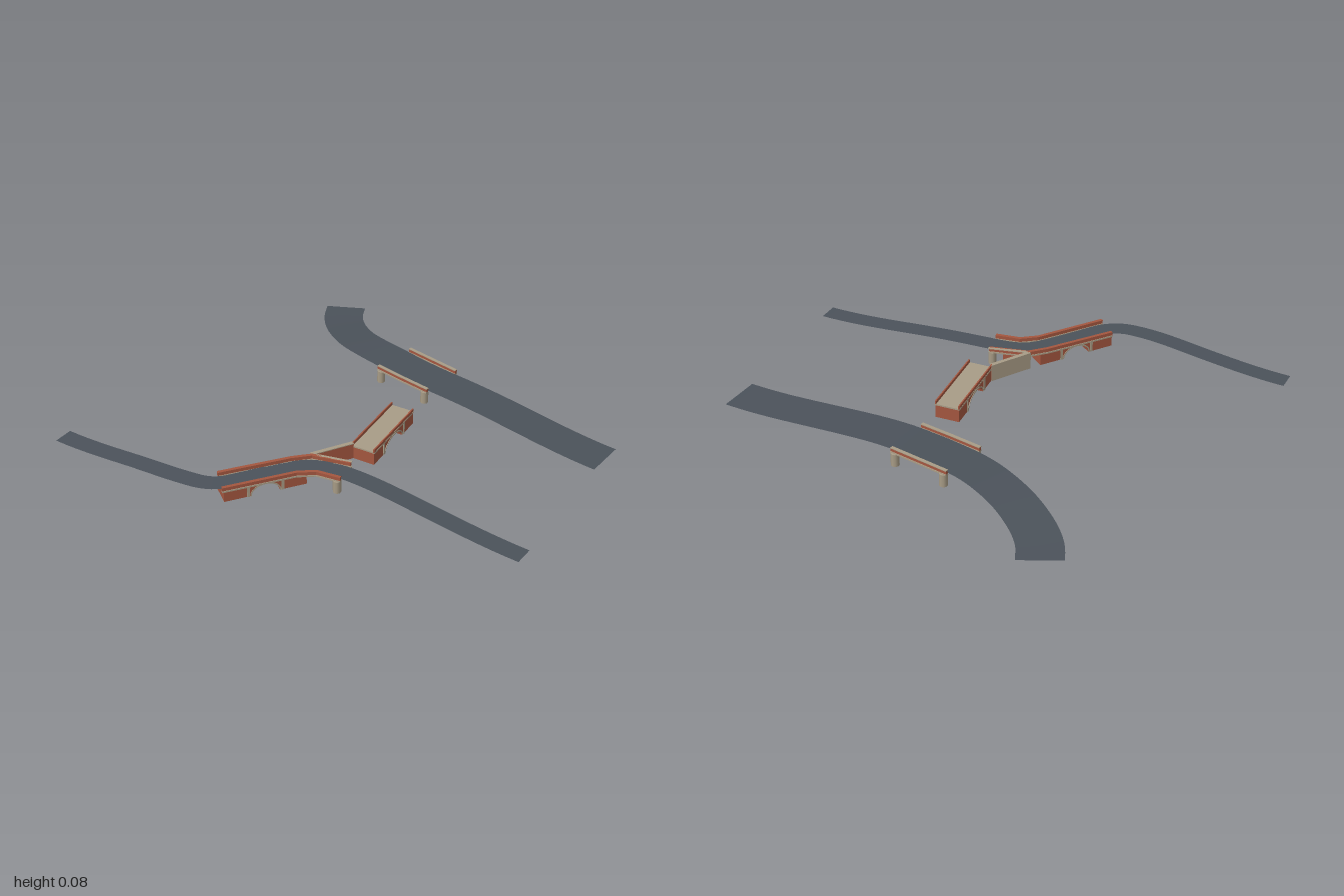
import * as THREE from 'three';

const road = new THREE.MeshStandardMaterial({ color: 0x4b525a, side: THREE.DoubleSide });
const brick = new THREE.MeshStandardMaterial({ color: 0xa3563f, side: THREE.DoubleSide });
const stone = new THREE.MeshStandardMaterial({ color: 0xa89c86, side: THREE.DoubleSide });
const DECK = 0.062, TOP = 0.079;

function add(parent, name, geometry, material, x = 0, y = 0, z = 0) {
  const mesh = new THREE.Mesh(geometry, material);
  mesh.name = name;
  mesh.position.set(x, y, z);
  parent.add(mesh);
  return mesh;
}

// Flat ribbon along a curve; flat between x = flat[0] and flat[1], easing down to the ground at both ends
function roadway(parent, name, points, width, flat) {
  const curve = new THREE.CatmullRomCurve3(points.map(([x, z]) => new THREE.Vector3(x, 0, z)));
  const n = 72, positions = [], index = [];
  const x0 = points[0][0], x1 = points[points.length - 1][0];
  for (let i = 0; i <= n; i++) {
    const p = curve.getPointAt(i / n), t = curve.getTangentAt(i / n);
    const y = 0.001 + (DECK - 0.001) * THREE.MathUtils.smoothstep(p.x, x0, flat[0])
      * (1 - THREE.MathUtils.smoothstep(p.x, flat[1], x1));
    for (const s of [-0.5, 0.5]) positions.push(p.x - t.z * width * s, y, p.z + t.x * width * s);
    if (i < n) {
      const a = 2 * i;
      index.push(a, a + 1, a + 2, a + 1, a + 3, a + 2);
    }
  }
  const g = new THREE.BufferGeometry();
  g.setAttribute('position', new THREE.Float32BufferAttribute(positions, 3));
  g.setIndex(index);
  g.computeVertexNormals();
  add(parent, name, g, road);
}

// Upright wall following a polyline of [x, z] points
function wall(parent, name, points, thickness, y0, y1, material) {
  for (let i = 1; i < points.length; i++) {
    const [ax, az] = points[i - 1], [bx, bz] = points[i];
    const box = new THREE.BoxGeometry(Math.hypot(bx - ax, bz - az) + 0.004, y1 - y0, thickness);
    add(parent, name, box, material, (ax + bx) / 2, (y0 + y1) / 2, (az + bz) / 2)
      .rotation.y = -Math.atan2(bz - az, bx - ax);
  }
}

// Brick parapet standing on a stone course, with a slim coping
function parapet(parent, points, coping) {
  wall(parent, 'parapet', points, 0.011, DECK, TOP - 0.003, brick);
  wall(parent, 'parapetCoping', points, 0.015, TOP - 0.003, TOP, coping);
  wall(parent, 'stoneCourse', points, 0.017, DECK - 0.007, DECK, stone);
}

function pillar(parent, x, z) {
  add(parent, 'pillar', new THREE.CylinderGeometry(0.018, 0.018, DECK - 0.004, 8), stone, x, (DECK - 0.004) / 2, z);
}

// Half-ellipse arch points from right springing to left springing
function archPoints(a, h) {
  return Array.from({ length: 17 }, (_, i) => {
    const t = (Math.PI * i) / 16;
    return new THREE.Vector2(a * Math.cos(t), h * Math.sin(t));
  });
}

// Hollow brick arch bridge between two centre points
function archBridge(parent, name, from, to, width, halfSpan) {
  const bridge = new THREE.Group();
  bridge.name = name;
  const dx = to[0] - from[0], dz = to[1] - from[1], length = Math.hypot(dx, dz);
  const rise = 0.047, h = DECK - 0.004, t = 0.008;
  bridge.position.set((from[0] + to[0]) / 2, 0, (from[1] + to[1]) / 2);
  bridge.rotation.y = -Math.atan2(dz, dx);
  parent.add(bridge);

  const side = new THREE.Shape([
    new THREE.Vector2(-length / 2, 0), new THREE.Vector2(-length / 2, h),
    new THREE.Vector2(length / 2, h), new THREE.Vector2(length / 2, 0),
    ...archPoints(halfSpan, rise),
  ]);
  const ring = new THREE.Shape([...archPoints(halfSpan + 0.006, rise + 0.006), ...archPoints(halfSpan, rise).reverse()]);
  const barrel = new THREE.Shape([...archPoints(halfSpan + 0.002, rise + 0.002), ...archPoints(halfSpan, rise).reverse()]);
  const extrude = (shape, depth) => new THREE.ExtrudeGeometry(shape, { depth, bevelEnabled: false });

  for (const s of [-1, 1]) {
    add(bridge, 'sideWall', extrude(side, t), brick, 0, 0, s * (width / 2 - t / 2) - t / 2);
    add(bridge, 'archRing', extrude(ring, 0.003), stone, 0, 0, s * (width / 2 + 0.0005) - 0.0015);
    add(bridge, 'endWall', new THREE.BoxGeometry(t, h, width - 2 * t), brick, s * (length / 2 - t / 2), h / 2, 0);
    // Pilasters beside the arch on both faces
    for (const f of [-1, 1])
      add(bridge, 'pilaster', new THREE.BoxGeometry(0.012, h, 0.006), stone, s * (halfSpan + 0.013), h / 2, f * width / 2);
  }
  add(bridge, 'archBarrel', extrude(barrel, width - 2 * t), brick, 0, 0, -width / 2 + t);
  return { bridge, length };
}

export function createModel() {
  const model = new THREE.Group();
  model.name = 'roadBridges';

  // Wide curved road on pillars
  const wide = new THREE.Group();
  wide.name = 'wideRoadBridge';
  model.add(wide);
  roadway(wide, 'wideRoad', [[-0.92, -0.83], [-0.86, -0.757], [-0.775, -0.695], [-0.64, -0.637], [-0.5, -0.609],
    [-0.38, -0.601], [-0.2, -0.607], [-0.05, -0.623], [0.3, -0.685], [0.783, -0.772]], 0.187, [-0.34, -0.06]);
  for (const line of [[[-0.345, -0.703], [-0.2, -0.714], [-0.07, -0.724]], [[-0.34, -0.495], [-0.2, -0.505], [-0.05, -0.519]]]) {
    parapet(wide, line, stone);
    for (const [x, z] of [line[0], line[2]]) pillar(wide, x + (x < -0.2 ? 0.017 : -0.017), z);
  }

  // Narrow S-shaped road over a brick arch
  const narrow = new THREE.Group();
  narrow.name = 'narrowRoadBridge';
  model.add(narrow);
  roadway(narrow, 'narrowRoad', [[-0.96, 0.833], [-0.6, 0.752], [-0.32, 0.69], [-0.2, 0.643], [-0.15, 0.59],
    [-0.1, 0.47], [-0.04, 0.33], [0.0, 0.26], [0.06, 0.21], [0.17, 0.166], [0.6, 0.064], [0.99, -0.025]],
  0.09, [-0.18, 0.14]);
  archBridge(narrow, 'narrowArch', [-0.151, 0.602], [-0.012, 0.265], 0.1, 0.063);
  parapet(narrow, [[-0.202, 0.572], [-0.072, 0.278], [-0.025, 0.2], [0.127, 0.118]], brick);
  parapet(narrow, [[-0.105, 0.628], [0.022, 0.33], [0.075, 0.265], [0.175, 0.222]], brick);
  pillar(narrow, 0.162, 0.228);
  pillar(narrow, 0.118, 0.126);

  // Wing walls joining the narrow road to the open arch
  const wings = new THREE.Group();
  wings.name = 'wingWalls';
  model.add(wings);
  const wing = [[0.028, 0.012], [-0.033, 0.198]];
  wall(wings, 'wingWall', wing, 0.012, 0, TOP - 0.004, brick);
  wall(wings, 'wingFacing', wing.map(([x, z]) => [x - 0.007, z - 0.002]), 0.003, 0, TOP - 0.004, stone);
  wall(wings, 'wingCoping', wing, 0.018, TOP - 0.004, TOP, stone);
  wall(wings, 'backWall', [[-0.02, 0.195], [0.07, 0.146]], 0.01, 0, DECK, brick);
  wall(wings, 'backCoping', [[-0.02, 0.193], [0.127, 0.113]], 0.015, TOP - 0.003, TOP, stone);

  // Short arch bridge with a bare stone deck
  const { bridge, length } = archBridge(model, 'deckArch', [-0.03, -0.343], [0.079, 0.0], 0.108, 0.078);
  add(bridge, 'stoneDeck', new THREE.BoxGeometry(length, 0.007, 0.114), stone, 0, DECK - 0.0005, 0);
  for (const s of [-1, 1])
    add(bridge, 'deckParapet', new THREE.BoxGeometry(length, TOP - DECK, 0.006), brick, 0, (TOP + DECK) / 2, s * 0.053);

  return model;
}
